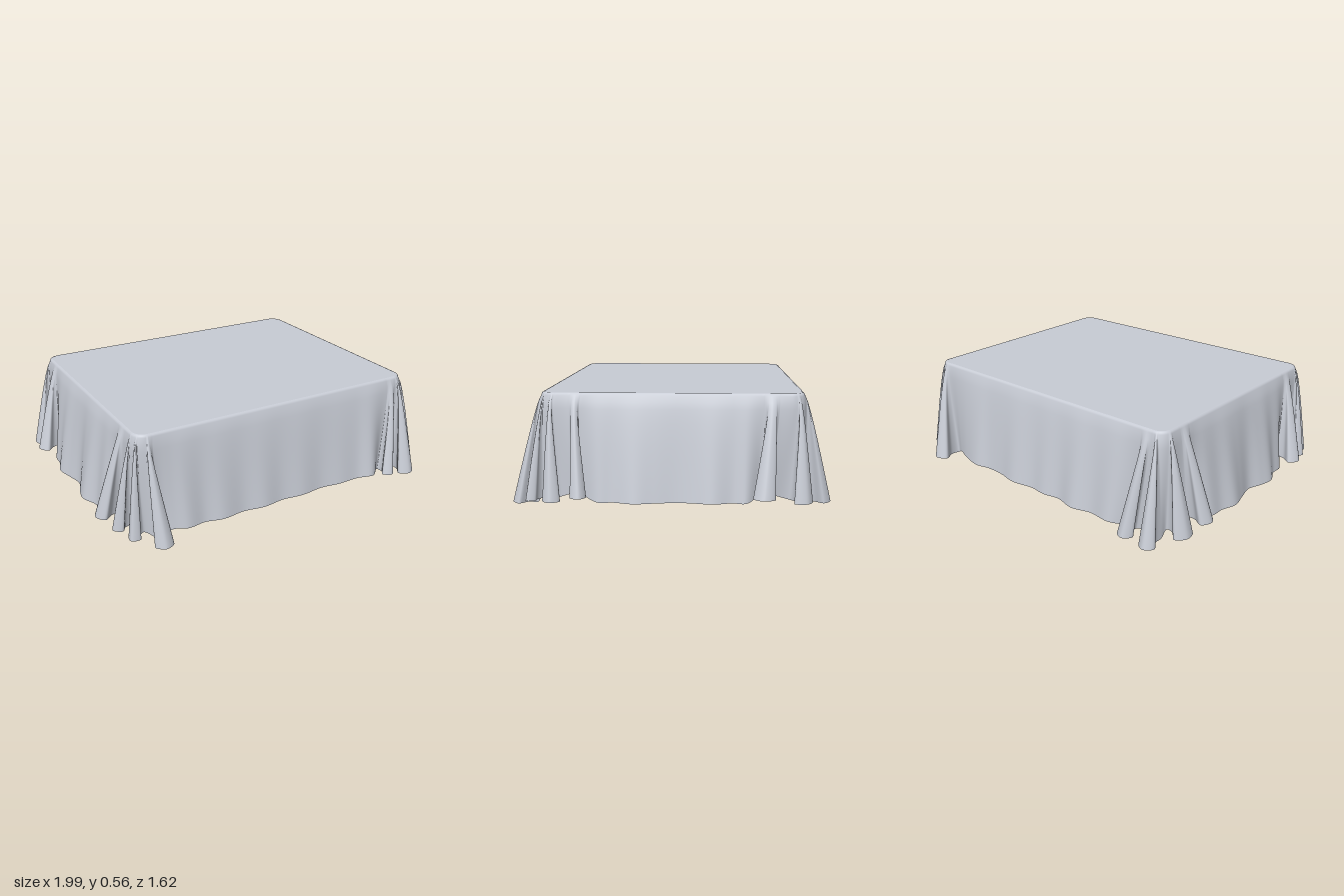
import * as THREE from 'three';

const TOP = 0.568, HALF_X = 0.838, HALF_Z = 0.662, MID_Z = -0.008, RADIUS = 0.07;

// Nearest point on the rounded table edge, moved inward by inset
function onEdge(p, inset) {
  const cx = THREE.MathUtils.clamp(p.x, -HALF_X + RADIUS, HALF_X - RADIUS);
  const cz = THREE.MathUtils.clamp(p.z, MID_Z - HALF_Z + RADIUS, MID_Z + HALF_Z - RADIUS);
  const d = new THREE.Vector3(p.x - cx, 0, p.z - cz).normalize().multiplyScalar(RADIUS - inset);
  return new THREE.Vector3(cx + d.x, 0, cz + d.z);
}

// Hem control points, each with the place on the edge it hangs from
function buildHem() {
  const hem = [], anchors = [];
  const plain = (x, z, y = 0.035) => {
    hem.push(new THREE.Vector3(x, y, z));
    anchors.push(new THREE.Vector3(x, 0, z));
  };
  // One pleat: narrow neck, round bulb, narrow neck
  const pleat = ([x, z, dx, dz, w, len, y]) => {
    const dir = new THREE.Vector3(dx, 0, dz).normalize();
    const side = new THREE.Vector3(dir.z, 0, -dir.x);
    const tip = new THREE.Vector3(x, y, z);
    const base = tip.clone().addScaledVector(dir, -len);
    const corner = new THREE.Vector3(Math.sign(x) * HALF_X, 0, Math.sign(z) * HALF_Z + MID_Z);
    const root = base.clone().lerp(corner, 0.22).addScaledVector(dir, 0.15);
    const steps = [[-0.45, len], [-0.4, len * 0.65], [-1, 0.035], [0, 0], [1, 0.035], [0.4, len * 0.65], [0.45, len]];
    steps.forEach(([s, back], i) => {
      hem.push(tip.clone().addScaledVector(dir, -back).addScaledVector(side, s * w));
      anchors.push(root.clone().addScaledVector(side, (i - 3) / 3 * w * 0.7));
    });
  };

  // Front side and its +x corner
  [[-0.67, 0.7], [-0.6, 0.73], [-0.5, 0.72], [-0.4, 0.742], [-0.27, 0.728], [-0.15, 0.745], [-0.03, 0.73],
    [0.1, 0.742], [0.23, 0.728], [0.36, 0.742], [0.48, 0.74], [0.58, 0.76]].forEach(p => plain(...p));
  [[0.7, 0.785, 0.15, 1, 0.04, 0.1, 0.02], [0.82, 0.805, 0.1, 1, 0.055, 0.13, 0.008],
    [0.905, 0.72, 0.8, 0.7, 0.03, 0.1, 0.03], [0.975, 0.59, 1, 0.1, 0.045, 0.12, 0.04],
    [0.995, 0.44, 1, -0.25, 0.04, 0.12, 0.065]].forEach(pleat);

  // +x side and its back corner
  [[0.935, 0.36], [0.935, 0.28], [0.962, 0.18], [0.945, 0.08], [0.928, -0.03], [0.935, -0.12],
    [0.952, -0.21], [0.925, -0.31], [0.93, -0.38]].forEach(p => plain(...p));
  [[0.995, -0.46, 1, 0.1, 0.055, 0.13, 0.065], [0.93, -0.68, 0.8, -0.5, 0.055, 0.12, 0.035],
    [0.755, -0.815, 0.1, -1, 0.055, 0.14, 0.008]].forEach(pleat);

  // Back side and its -x corner
  [[0.66, -0.7], [0.57, -0.735], [0.45, -0.762], [0.36, -0.745], [0.25, -0.748], [0.13, -0.77], [0, -0.75],
    [-0.1, -0.76], [-0.2, -0.745], [-0.32, -0.772], [-0.43, -0.745], [-0.56, -0.755]].forEach(p => plain(...p));
  [[-0.69, -0.805, -0.15, -1, 0.045, 0.12, 0.015], [-0.83, -0.812, -0.1, -1, 0.045, 0.14, 0.008],
    [-0.97, -0.635, -1, -0.25, 0.06, 0.13, 0.04], [-0.995, -0.465, -1, 0.1, 0.055, 0.13, 0.065]].forEach(pleat);

  // -x side and its front corner
  [[-0.925, -0.37], [-0.935, -0.28], [-0.962, -0.19], [-0.94, -0.09], [-0.92, 0.01], [-0.95, 0.1],
    [-0.962, 0.18], [-0.925, 0.27], [-0.92, 0.35]].forEach(p => plain(...p));
  [[-0.99, 0.44, -1, 0, 0.055, 0.13, 0.065], [-0.95, 0.575, -1, 0.2, 0.04, 0.1, 0.045],
    [-0.9, 0.69, -0.8, 0.6, 0.035, 0.1, 0.03], [-0.76, 0.805, -0.1, 1, 0.05, 0.13, 0.006]].forEach(pleat);
  return { hem, anchors };
}

// Draped sides: rows running from the rounded edge down to the hem
function skirtGeometry() {
  const { hem, anchors } = buildHem();
  const n = hem.length, cols = n * 6, rows = 18;
  const curve = new THREE.CatmullRomCurve3(hem, true, 'centripetal');
  const pos = [], index = [];
  for (let j = 0; j <= rows; j++) {
    for (let i = 0; i < cols; i++) {
      const u = i / 6, k = Math.floor(u);
      const low = curve.getPoint(i / cols);
      const anchor = anchors[k].clone().lerp(anchors[(k + 1) % n], u - k);
      if (j < 2) {
        const p = onEdge(anchor, j ? 0.004 : 0.014);
        pos.push(p.x, TOP - j * 0.004, p.z);
      } else {
        const t = (j - 2) / (rows - 2), p = onEdge(anchor, 0);
        p.y = TOP - 0.014;
        p.lerp(low, t);
        // Cloth swells slightly before falling straight
        const swell = 0.012 * Math.sin(Math.PI * Math.sqrt(t));
        pos.push(p.x + Math.sign(p.x) * swell * Math.min(1, Math.abs(p.x)), p.y, p.z + swell * p.z);
      }
      if (j < rows) {
        const a = j * cols + i, c = j * cols + (i + 1) % cols;
        index.push(a, a + cols, c, c, a + cols, c + cols);
      }
    }
  }
  const g = new THREE.BufferGeometry();
  g.setAttribute('position', new THREE.Float32BufferAttribute(pos, 3));
  g.setIndex(index);
  g.computeVertexNormals();
  return g;
}

// Flat rounded top
function topGeometry() {
  const r = RADIUS - 0.014, x = HALF_X - RADIUS, z = HALF_Z - RADIUS;
  const s = new THREE.Shape();
  [[x, z], [-x, z], [-x, -z], [x, -z]].forEach(([cx, cz], i) =>
    s.absarc(cx, cz, r, i * Math.PI / 2, (i + 1) * Math.PI / 2, false));
  return new THREE.ShapeGeometry(s, 12).rotateX(-Math.PI / 2).translate(0, TOP, MID_Z);
}

export function createModel() {
  const cloth = new THREE.MeshStandardMaterial({ color: 0xc8ccd5, side: THREE.DoubleSide });
  cloth.name = 'pale grey cloth';
  const group = new THREE.Group();
  group.name = 'tablecloth';
  const add = (name, geometry) => {
    const mesh = new THREE.Mesh(geometry, cloth);
    mesh.name = name;
    group.add(mesh);
  };
  add('clothTop', topGeometry());
  add('drapedSkirt', skirtGeometry());
  return group;
}
